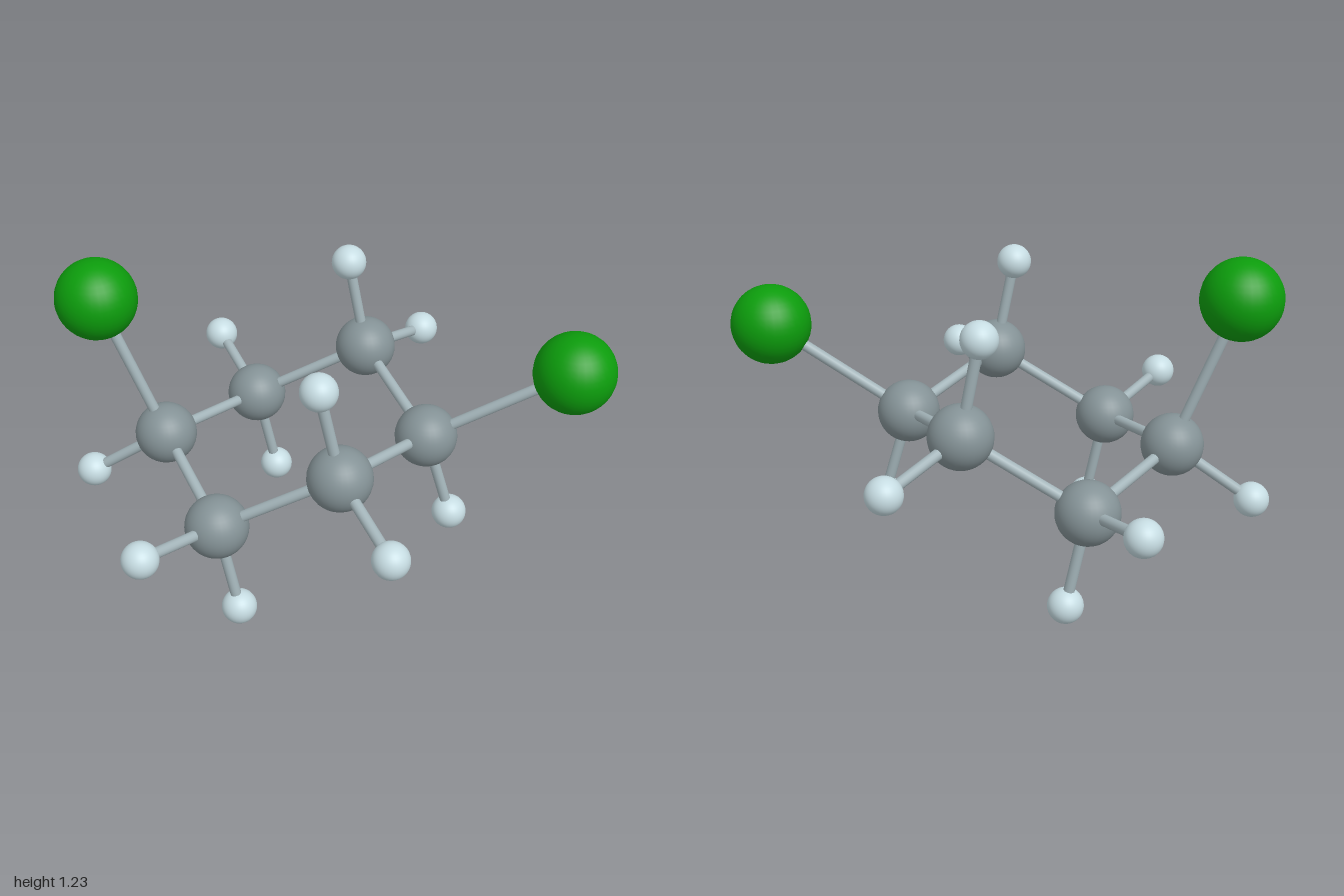
import * as THREE from 'three';

// Ball-and-stick ring of six carbons, mirrored across z = 0
export function createModel() {
  const model = new THREE.Group();
  model.name = 'moleculeModel';
  const mat = (color) => new THREE.MeshStandardMaterial({ color });
  const kinds = {
    carbon: { radius: 0.115, material: mat(0x849296) },
    hydrogen: { radius: 0.065, material: mat(0xc6dce2) },
    chlorine: { radius: 0.147, material: mat(0x0c9c0c) },
  };
  for (const kind of Object.values(kinds)) kind.geometry = new THREE.SphereGeometry(kind.radius, 32, 20);
  const bondMaterial = mat(0xa4b5ba);
  const bondRadius = 0.02;
  const up = new THREE.Vector3(0, 1, 0);

  function atom(kind, name, x, y, z) {
    const ball = new THREE.Mesh(kinds[kind].geometry, kinds[kind].material);
    ball.name = name;
    ball.position.set(x, y, z);
    model.add(ball);
    return ball;
  }

  // Stick running between the centres of two atoms
  function bond(a, b) {
    const dir = b.position.clone().sub(a.position);
    const stick = new THREE.Mesh(
      new THREE.CylinderGeometry(bondRadius, bondRadius, dir.length(), 16, 1, true), bondMaterial);
    stick.name = 'bond';
    stick.position.copy(a.position).addScaledVector(dir, 0.5);
    stick.quaternion.setFromUnitVectors(up, dir.normalize());
    model.add(stick);
  }

  // Ring ends, each carrying one chlorine and one hydrogen
  const rightEnd = atom('carbon', 'rightEndCarbon', -0.637, 0.516, 0);
  const leftEnd = atom('carbon', 'leftEndCarbon', 0.34, 0.59, 0);
  bond(rightEnd, atom('chlorine', 'rightChlorine', -0.847, 1.083, 0));
  bond(rightEnd, atom('hydrogen', 'rightEndHydrogen', -0.937, 0.312, 0));
  bond(leftEnd, atom('chlorine', 'leftChlorine', 0.847, 0.906, 0));
  bond(leftEnd, atom('hydrogen', 'leftEndHydrogen', 0.441, 0.24, 0));

  // Ring sides, front and back, with two hydrogens per carbon
  for (const [side, s] of [['front', 1], ['back', -1]]) {
    const low = atom('carbon', side + 'LowCarbon', -0.365, 0.435, s * 0.419);
    const high = atom('carbon', side + 'HighCarbon', 0.072, 0.692, s * 0.419);
    bond(rightEnd, low);
    bond(low, high);
    bond(high, leftEnd);
    bond(low, atom('hydrogen', side + 'LowOuterHydrogen', -0.563, 0.517, s * 0.714));
    bond(low, atom('hydrogen', side + 'LowerHydrogen', -0.297, 0.07, s * 0.434));
    bond(high, atom('hydrogen', side + 'HighOuterHydrogen', 0.273, 0.607, s * 0.714));
    bond(high, atom('hydrogen', side + 'UpperHydrogen', 0.004, 1.05, s * 0.432));
  }
  return model;
}
